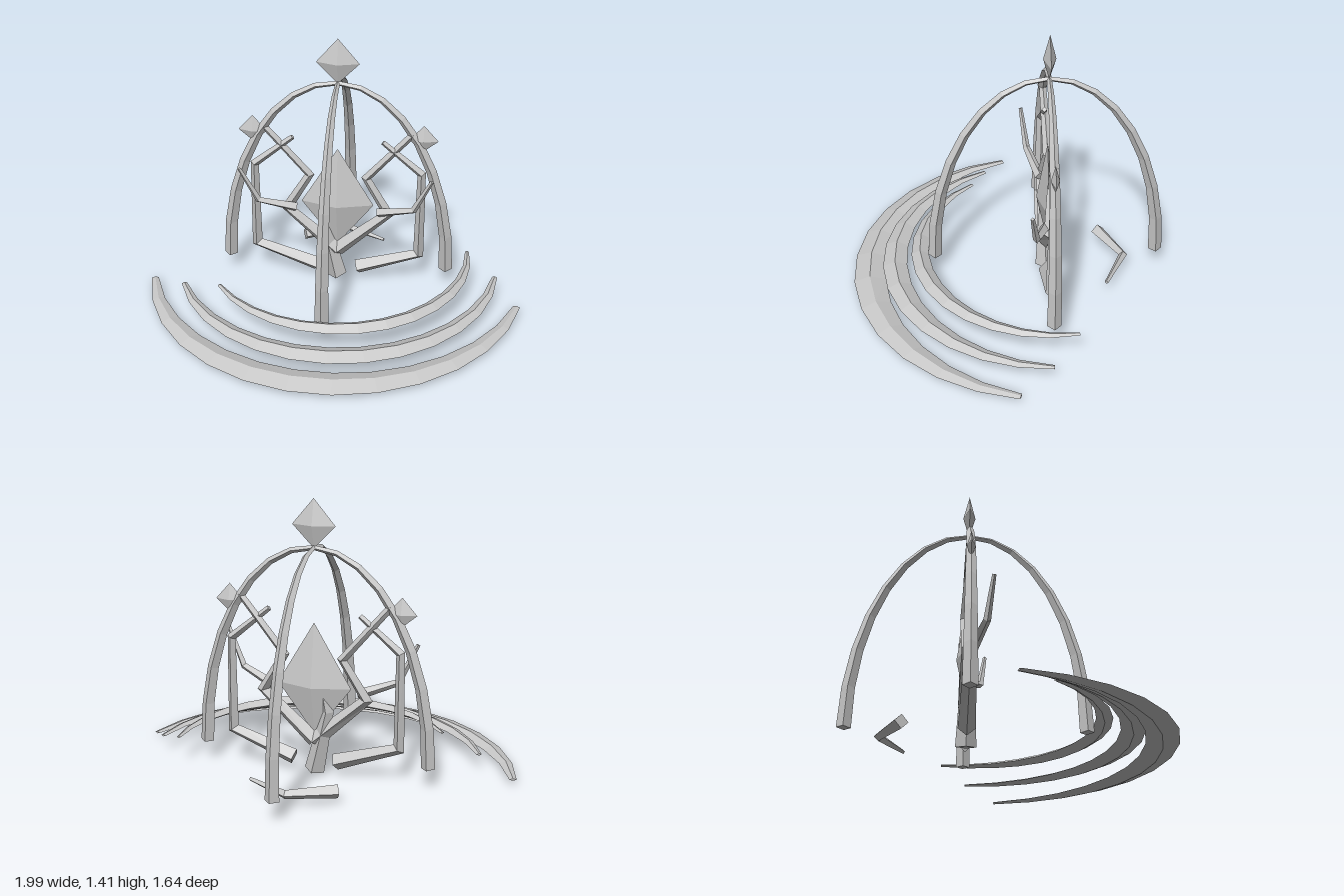
import * as THREE from 'three';

const stone = new THREE.MeshStandardMaterial({ color: 0xc8c8c8, flatShading: true });
stone.name = 'pale grey stone';

const V = (x, y, z) => new THREE.Vector3(x, y, z);
const CZ = -0.2; // centre of the dome

// Tapered four-sided bar with a diamond section along a list of points.
// side: axis the section keeps to; size(t) gives [half width, half height along side].
function bar(name, points, side, size) {
  const rings = points.map((p, i) => {
    const a = points[Math.max(i - 1, 0)], c = points[Math.min(i + 1, points.length - 1)];
    const before = p.clone().sub(a).normalize(), after = c.clone().sub(p).normalize();
    const t = before.add(after).normalize();
    const b = side.clone().addScaledVector(t, -side.dot(t)).normalize();
    const n = b.clone().cross(t);
    const [w, h] = size(i / (points.length - 1));
    return [[1, 0], [0, 1], [-1, 0], [0, -1]].map(([u, v]) =>
      p.clone().addScaledVector(n, u * w).addScaledVector(b, v * h));
  });
  const tris = [];
  const quad = (a, b, c, d) => tris.push(a, b, c, a, c, d);
  for (let i = 0; i < rings.length - 1; i++) {
    for (let j = 0; j < 4; j++) {
      const k = (j + 1) % 4;
      quad(rings[i][j], rings[i][k], rings[i + 1][k], rings[i + 1][j]);
    }
  }
  const s = rings[0], e = rings[rings.length - 1];
  quad(s[0], s[3], s[2], s[1]);
  quad(e[0], e[1], e[2], e[3]);
  const g = new THREE.BufferGeometry().setFromPoints(tris);
  g.computeVertexNormals();
  const mesh = new THREE.Mesh(g, stone);
  mesh.name = name;
  return mesh;
}

// Flattened bipyramid with its own heights above and below the girdle
function crystal(name, x, y, halfX, halfZ, up, down) {
  const g = new THREE.OctahedronGeometry(1, 0);
  const p = g.attributes.position;
  for (let i = 0; i < p.count; i++) {
    const py = p.getY(i);
    p.setXYZ(i, p.getX(i) * halfX, py * (py > 0 ? up : down), p.getZ(i) * halfZ);
  }
  g.computeVertexNormals();
  const mesh = new THREE.Mesh(g, stone);
  mesh.name = name;
  mesh.position.set(x, y, CZ);
  return mesh;
}

const taper = (a, b) => t => { const r = a + (b - a) * t; return [r, r]; };

export function createModel() {
  const model = new THREE.Group();
  model.name = 'crystalShrine';

  // Four arched ribs meeting at the crown
  for (let k = 0; k < 4; k++) {
    const a = k * Math.PI / 2, dx = Math.cos(a), dz = Math.sin(a);
    const pts = [];
    for (let i = 0; i <= 8; i++) {
      const t = i / 8 * Math.PI / 2, r = 0.59 * Math.cos(t);
      pts.push(V(dx * r, 0.115 + 1.065 * Math.sin(t), CZ + dz * r));
    }
    model.add(bar('archRib', pts, V(-dz, 0, dx), taper(0.036, 0.012)));
  }

  // Crystals
  model.add(crystal('crownCrystal', 0, 1.29, 0.11, 0.032, 0.13, 0.113));
  model.add(crystal('heartCrystal', 0, 0.48, 0.192, 0.054, 0.325, 0.255));

  // Branches, mirrored left and right
  const zAxis = V(0, 0, 1);
  for (const s of [1, -1]) {
    const path = list => list.map(([x, y, z]) => V(s * x, y, z));
    model.add(crystal('sideCrystal', s * 0.443, 0.886, 0.075, 0.022, 0.084, 0.064));
    model.add(bar('outerBranch',
      path([[0.11, 0.085, CZ], [0.44, 0.2, CZ], [0.44, 0.69, CZ], [0.235, 0.86, CZ]]),
      zAxis, taper(0.043, 0.014)));
    model.add(bar('innerBranch',
      path([[0, 0.19, CZ], [0.27, 0.435, -0.2], [0.15, 0.635, -0.215], [0.39, 0.92, CZ]]),
      zAxis, taper(0.042, 0.018)));
    model.add(bar('frontTwig',
      path([[0.22, 0.45, -0.18], [0.41, 0.515, -0.12], [0.5, 0.71, -0.092]]),
      zAxis, taper(0.027, 0.01)));
  }

  // Central stem running up into the heart crystal
  model.add(bar('centreStem', [V(0, 0.028, CZ), V(-0.07, 0.35, CZ), V(0, 0.72, CZ)],
    zAxis, taper(0.052, 0.012)));

  // Bent root lying behind
  model.add(bar('backRoot', [V(-0.225, 0.073, -0.505), V(0, 0.073, -0.62), V(0.225, 0.073, -0.505)],
    V(0, 1, 0), taper(0.036, 0.01)));

  // Three stacked crescents, each turned a little further
  const crescents = [
    { R: 1.012, cz: -0.27, y: 0.033, w: 0.083, turn: 0 },
    { R: 0.86, cz: -0.255, y: 0.095, w: 0.064, turn: 0.17 },
    { R: 0.705, cz: -0.235, y: 0.157, w: 0.048, turn: 0.37 },
  ];
  for (const { R, cz, y, w, turn } of crescents) {
    const pts = [];
    for (let i = 0; i <= 13; i++) {
      const a = turn + 1.315 * (2 * i / 13 - 1);
      pts.push(V(R * Math.sin(a), y, cz + R * Math.cos(a)));
    }
    model.add(bar('crescentStep', pts, V(0, 1, 0), t => {
      const k = 0.22 + 0.78 * Math.sin(Math.PI * t);
      return [w * k, 0.028 * k];
    }));
  }
  return model;
}
